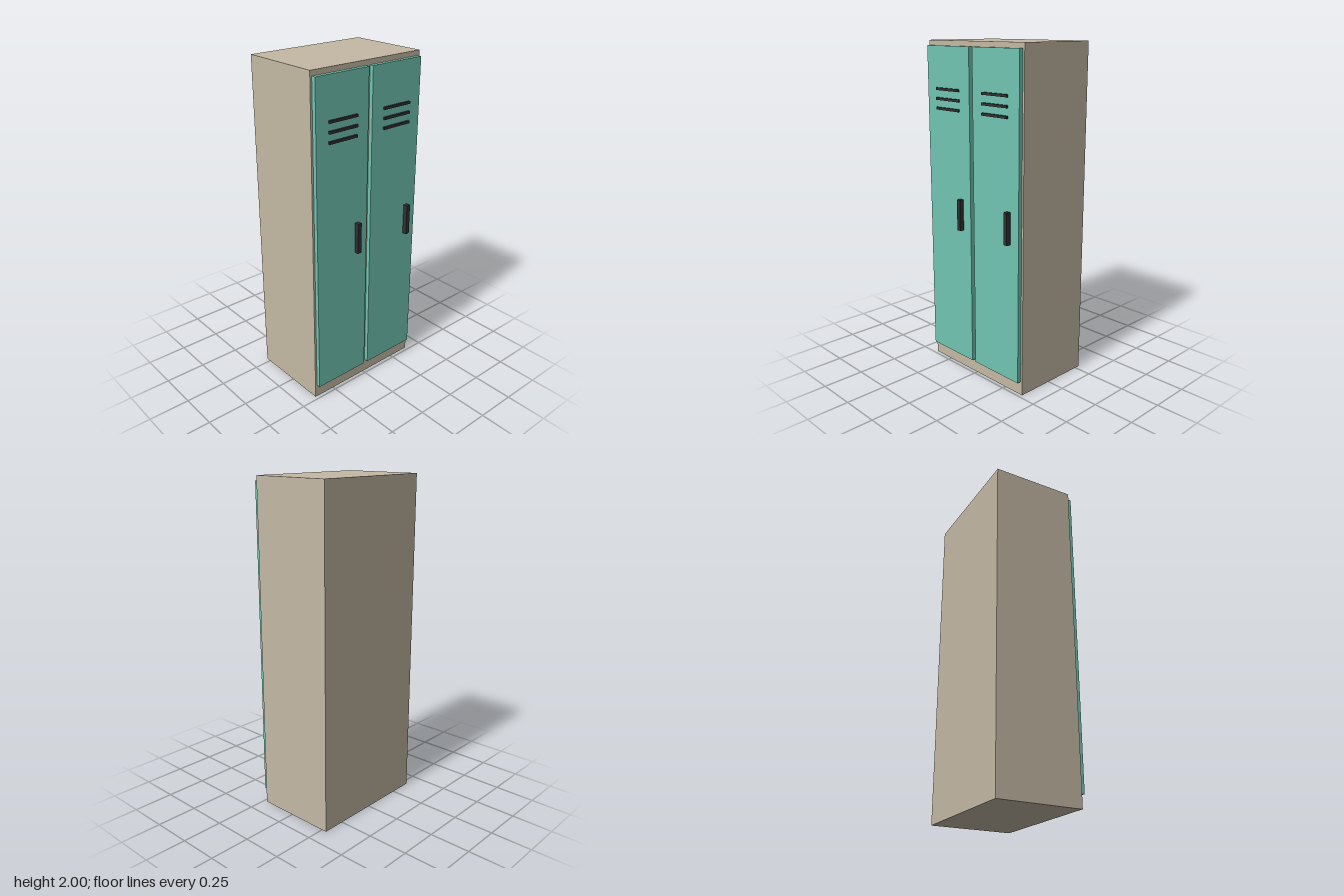
import * as THREE from 'three';

export function createModel() {
  const model = new THREE.Group();
  model.name = 'locker';

  const mat = (name, color) => {
    const m = new THREE.MeshStandardMaterial({ color });
    m.name = name;
    return m;
  };
  const beige = mat('beige metal', 0xc4b9a4);
  const teal = mat('teal paint', 0x71c5b2);
  const dark = mat('dark metal', 0x303132);

  // Box given by its extents along x, y and z
  const box = (parent, name, material, [x0, x1], [y0, y1], [z0, z1]) => {
    const mesh = new THREE.Mesh(new THREE.BoxGeometry(x1 - x0, y1 - y0, z1 - z0), material);
    mesh.position.set((x0 + x1) / 2, (y0 + y1) / 2, (z0 + z1) / 2);
    mesh.name = name;
    parent.add(mesh);
  };

  const bodyFront = 0.228;
  const doorFront = 0.253;

  // Cabinet body
  box(model, 'cabinet', beige, [-0.39, 0.39], [0, 2], [-0.281, bodyFront]);

  // Two identical doors, each with a handle and three vent slats
  for (const [side, x] of [['right', -0.196], ['left', 0.196]]) {
    const door = new THREE.Group();
    door.name = side + 'Door';
    door.position.x = x;
    model.add(door);

    box(door, 'doorPanel', teal, [-0.182, 0.182], [0.083, 1.97], [bodyFront, doorFront]);
    box(door, 'handle', dark, [0.093, 0.119], [0.91, 1.097], [doorFront, 0.281]);
    for (const y of [1.613, 1.669, 1.726]) {
      box(door, 'ventSlat', dark, [-0.098, 0.098], [y - 0.0075, y + 0.0075], [doorFront, 0.265]);
    }
  }

  return model;
}
